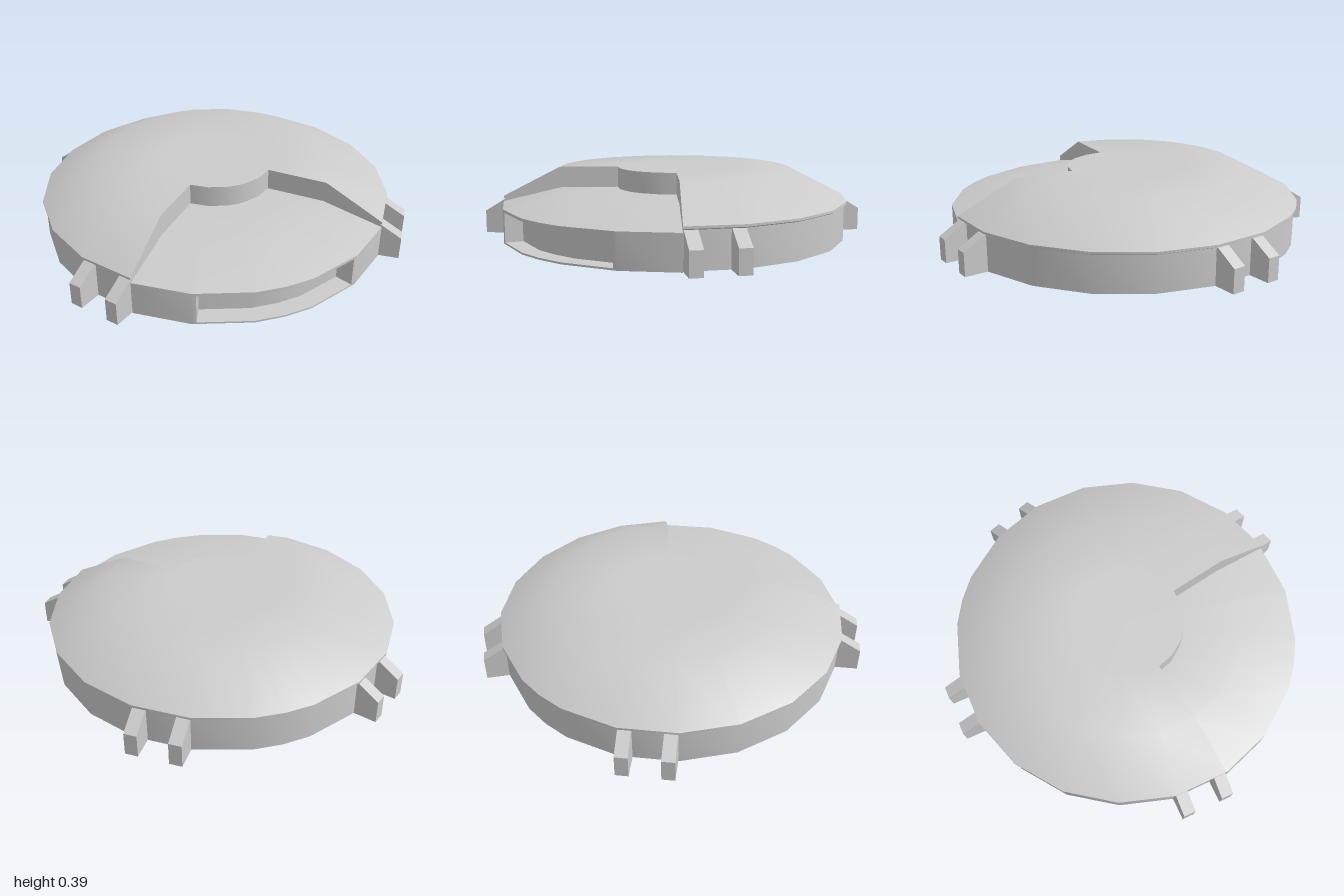
import * as THREE from 'three';
import { mergeGeometries, toCreasedNormals } from 'three/addons/utils/BufferGeometryUtils.js';

const rad = THREE.MathUtils.degToRad;
const material = new THREE.MeshStandardMaterial({ color: 0xcccccc });

// Corner angles of the outline, in degrees from the front: a 20-gon with extra points front and back.
const corners = [0, 180, 360];
for (let a = 9; a < 360; a += 18) corners.push(a);
corners.sort((a, b) => a - b);

// How far the straight-sided outline lies from the axis at an angle (1 at a corner).
function rim(angle) {
  const a = (angle + 360) % 360;
  const next = corners.findIndex((c) => c > a);
  const lo = corners[next - 1], hi = corners[next];
  return Math.cos(rad(hi - lo) / 2) / Math.cos(rad(a - (lo + hi) / 2));
}

// Sweeps a closed [radius, height] profile (counterclockwise) between two angles.
function sector(profile, from, to, caps) {
  const between = [];
  for (const turn of [-360, 0]) {
    for (const c of corners) {
      const a = c + turn;
      if (a > from && a < to && !between.includes(a)) between.push(a);
    }
  }
  const angles = [from, ...between, to];
  const rings = angles.map((a) => {
    const k = rim(a);
    return profile.map(([r, y]) => [r * k * Math.sin(rad(a)), y, r * k * Math.cos(rad(a))]);
  });
  const out = [];
  const n = profile.length;
  for (let i = 0; i + 1 < rings.length; i++) {
    for (let j = 0; j < n; j++) {
      const m = (j + 1) % n;
      const a = rings[i][j], b = rings[i + 1][j], c = rings[i + 1][m], d = rings[i][m];
      if (profile[j][0] > 0) out.push(...a, ...b, ...d);
      if (profile[m][0] > 0) out.push(...b, ...c, ...d);
    }
  }
  if (caps) {
    const flat = profile.map(([r, y]) => new THREE.Vector2(r, y));
    const last = rings[rings.length - 1];
    for (const [a, b, c] of THREE.ShapeUtils.triangulateShape(flat, [])) {
      out.push(...rings[0][a], ...rings[0][b], ...rings[0][c]);
      out.push(...last[c], ...last[b], ...last[a]);
    }
  }
  const geometry = new THREE.BufferGeometry();
  geometry.setAttribute('position', new THREE.Float32BufferAttribute(out, 3));
  return geometry;
}

function smoothMesh(name, parts) {
  const mesh = new THREE.Mesh(toCreasedNormals(mergeGeometries(parts), rad(32)), material);
  mesh.name = name;
  return mesh;
}

export function createModel() {
  const model = new THREE.Group();
  model.name = 'roundHatch';

  // Raised roof with its wall, and the hub that bulges into the cutout
  const roof = [[0, 0], [0.985, 0], [0.985, 0.2], [1, 0.207], [1, 0.22], [0.67, 0.39], [0.33, 0.39], [0, 0.39]];
  const hub = [[0, 0], [0.33, 0], [0.33, 0.39], [0, 0.39]];
  model.add(smoothMesh('raisedRoof', [sector(roof, 45, 315, true), sector(hub, -45, 45, false)]));

  // Lower front deck, with a curved slot cut into its wall
  const top = [[1, 0.19], [0.66, 0.27], [0.33, 0.27]];
  const solid = [[0.33, 0], [1, 0], ...top];
  const slotted = [[0.33, 0], [1, 0], [1, 0.01], [0.9, 0.01], [0.9, 0.175], [1, 0.175], ...top];
  const slotEnd = 25.7;
  model.add(smoothMesh('frontDeck', [
    sector(solid, -45, -slotEnd, true),
    sector(slotted, -slotEnd, slotEnd, false),
    sector(solid, slotEnd, 45, true),
  ]));

  // Four pairs of sloped lugs around the wall
  const side = new THREE.Shape([[0.94, 0], [1.1, 0], [1.1, 0.13], [0.985, 0.2], [0.94, 0.2]]
    .map(([x, y]) => new THREE.Vector2(x, y)));
  const lug = new THREE.ExtrudeGeometry(side, { depth: 0.07, bevelEnabled: false });
  lug.translate(0, 0, -0.035);
  const pairs = { frontLeftLugs: -36, frontRightLugs: -144, backLeftLugs: 54, backRightLugs: 126 };
  for (const [name, angle] of Object.entries(pairs)) {
    const pair = new THREE.Group();
    pair.name = name;
    pair.rotation.y = rad(angle);
    for (const s of [-1, 1]) {
      const mesh = new THREE.Mesh(lug, material);
      mesh.name = 'lug';
      mesh.position.z = s * 0.117;
      pair.add(mesh);
    }
    model.add(pair);
  }
  return model;
}
